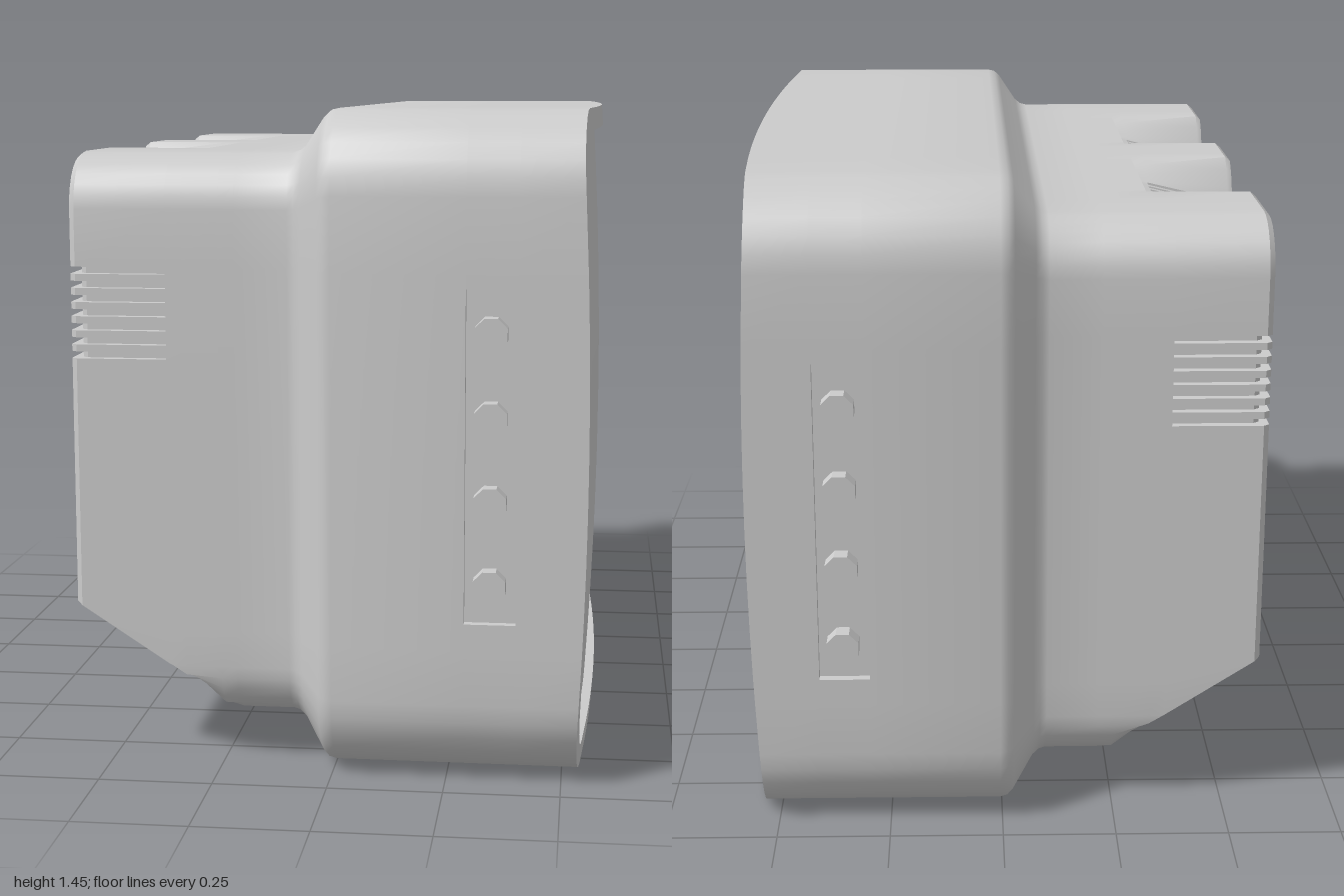
import * as THREE from 'three';
import { toCreasedNormals } from 'three/addons/utils/BufferGeometryUtils.js';

const lerp = THREE.MathUtils.lerp;
const mat = () => new THREE.MeshStandardMaterial({ color: 0xcccccc });

// Section sizes: half depth, bottom, top, corner radius
const OUTER = { hz: 0.96, y0: 0, y1: 1.445, r: 0.18 };
const REAR = { hz: 0.865, y0: 0.1, y1: 1.35, r: 0.12 };
const mix = (a, b, t) => Object.fromEntries(Object.keys(a).map(k => [k, lerp(a[k], b[k], t)]));
const inset = (s, d, r) => ({ hz: s.hz - d, y0: s.y0 + d, y1: s.y1 - d, r });

// Seven vent slots with equal gaps between a and b
const slotEdges = (a, b) => Array.from({ length: 14 }, (_, i) => lerp(a, b, i / 13));
const inSlots = (v, a, b) => v > a && v < b && Math.floor((v - a) / (b - a) * 13) % 2 === 0;
const TOP_VENT = [0.18, 0.43], SIDE_VENT = [0.905, 1.105], PANEL = [0.36, 1.075];

const halfZ = [0.05, 0.1, 0.13, 0.155, ...slotEdges(...TOP_VENT), 0.45, 0.475, 0.5, 0.53, 0.62];
const Z_BREAKS = [...halfZ.map(z => -z), 0, ...halfZ].sort((a, b) => a - b);
const Y_BREAKS = [0.3, 0.48, 0.6, 0.72, 0.82, ...PANEL, ...slotEdges(...SIDE_VENT)].sort((a, b) => a - b);

// Splits a straight edge into intervals; both ends of each are kept so steps stay sharp
function edge(start, end, breaks, flags) {
  const all = [start, ...breaks, end], out = [];
  for (let i = 0; i < all.length - 1; i++) {
    const f = flags((all[i] + all[i + 1]) / 2);
    out.push({ v: all[i], ...f }, { v: all[i + 1], ...f });
  }
  return out;
}

// Sloped underside at the back
const SLOPE = [[-0.575, 0.36], [-0.33, 0.2], [-0.25, 0.122], [-0.215, 0.1]];
function floorY(x) {
  for (let i = 0; i < 3; i++) {
    const [xa, ya] = SLOPE[i], [xb, yb] = SLOPE[i + 1];
    if (x <= xb) return lerp(ya, yb, (x - xa) / (xb - xa));
  }
  return 0;
}

// Two scoops in the rear top, deeper toward the back
function scoop(x, z) {
  const off = Math.abs(Math.abs(z) - 0.315);
  return lerp(0.1, 0.04, (x + 0.575) / 0.245) * (1 - THREE.MathUtils.smoothstep(off, 0.125, 0.215));
}

// Bulged front of the bezel
const frontX = (z, y) => 0.525 + 0.042 * (1 - (z / 0.96) ** 2) + 0.025 * (1 - ((y - 0.7225) / 0.7225) ** 2);

// One rounded rectangular cross-section, with optional vent slots, scoops and side panel
function ring(x, s, { slotIn = 0, slotX = 0, scooped = false, panelIn = 0 } = {}) {
  const { hz, y0, y1, r } = s, pts = [];
  const add = (z, y, dx = 0) => {
    const px = typeof x === 'function' ? x(z, y) : x;
    pts.push(new THREE.Vector3(px + dx, Math.max(y, floorY(px)), z));
  };
  const corner = (cz, cy, a0) => {
    for (let i = 1; i < 7; i++) {
      const a = a0 - (i / 7) * Math.PI / 2;
      add(cz + r * Math.cos(a), cy + r * Math.sin(a));
    }
  };
  const cz = hz - r, top = y1 - r, bot = y0 + r, H = Math.PI / 2;
  const across = edge(-cz, cz, Z_BREAKS, m => ({ slot: inSlots(Math.abs(m), ...TOP_VENT) }));
  const up = edge(bot, top, Y_BREAKS, m => ({
    slot: inSlots(m, ...SIDE_VENT), panel: m > PANEL[0] && m < PANEL[1] }));
  const side = sign => p =>
    add(sign * (hz - (p.slot ? slotIn : 0) - (p.panel ? panelIn : 0)), p.v, p.slot ? slotX : 0);
  across.forEach(p => add(p.v, y1 - (scooped ? scoop(x, p.v) : 0) - (p.slot ? slotIn : 0), p.slot ? slotX : 0));
  corner(cz, top, H);
  [...up].reverse().forEach(side(1));
  corner(cz, bot, 0);
  [...across].reverse().forEach(p => add(p.v, y0));
  corner(-cz, bot, -H);
  up.forEach(side(-1));
  corner(-cz, top, -2 * H);
  return pts;
}

// Skins a list of matching rings, leaving out empty triangles
function loft(rings, crease) {
  const pos = [], e1 = new THREE.Vector3(), e2 = new THREE.Vector3();
  const tri = (a, b, c) => {
    e1.subVectors(b, a).cross(e2.subVectors(c, a));
    if (e1.length() > 1e-8) pos.push(...a, ...b, ...c);
  };
  for (let k = 0; k < rings.length - 1; k++) {
    const A = rings[k], B = rings[k + 1], n = A.length;
    for (let i = 0; i < n; i++) {
      const j = (i + 1) % n;
      tri(A[i], A[j], B[i]);
      tri(A[j], B[j], B[i]);
    }
  }
  const g = new THREE.BufferGeometry();
  g.setAttribute('position', new THREE.Float32BufferAttribute(pos, 3));
  return toCreasedNormals(g, crease);
}

export function createModel() {
  const model = new THREE.Group();
  const add = (name, geo, x = 0, y = 0, z = 0, parent = model) => {
    const m = new THREE.Mesh(geo, mat());
    m.name = name;
    m.position.set(x, y, z);
    parent.add(m);
    return m;
  };

  // Housing: from the middle of the back face, around the body, to the inner bezel
  const D = 0.02, back = -0.575;
  const backInner = { hz: 0.715, y0: 0.1, y1: 1.15, r: 0.02 };
  const inner = inset(OUTER, 0.048, 0.14);
  const recessed = ring((z, y) => frontX(z, y) - 0.022, inner);
  const backRing = ring(back, backInner, { scooped: true });
  const housing = [
    backRing.map(() => new THREE.Vector3(back, 0.75, 0)),
    backRing,
    ring(back, backInner, { scooped: true, slotX: D }),
    ring(back, inset(REAR, 0.01, 0.11), { scooped: true, slotX: D, slotIn: D }),
    ring(back + 0.012, REAR, { scooped: true, slotX: D, slotIn: D }),
    ring(-0.365, REAR, { scooped: true, slotIn: D }),
    ring(-0.365, REAR, { scooped: true }),
    ring(-0.33, REAR, { scooped: true }),
    ring(-0.33, REAR),
    ring(-0.25, REAR),
    ring(-0.215, REAR),
    // flare between rear and front
    ...[[-0.1, 0], [-0.085, 0.04], [-0.07, 0.16], [-0.025, 0.84], [-0.012, 0.96], [0.005, 1]]
      .map(([x, t]) => ring(x, mix(REAR, OUTER, t))),
    // sunken control panels
    ring(0.29, OUTER),
    ring(0.29, OUTER, { panelIn: D }),
    ring(0.4, OUTER, { panelIn: D }),
    ring(0.4, OUTER),
    // bezel
    ring(frontX, OUTER),
    ring(frontX, inner),
    recessed,
  ];
  add('housing', loft(housing, 0.6));

  // Bulged screen
  const screen = [1, 0.85, 0.7, 0.55, 0.4, 0.2, 0].map(k => recessed.map(p => {
    const y = lerp(0.7225, p.y, k), z = p.z * k;
    return new THREE.Vector3(frontX(z, y) - 0.022, y, z);
  }));
  add('screen', loft(screen, 0.6));

  // Control knobs on both sides
  const shaft = new THREE.CylinderGeometry(0.028, 0.028, 0.05, 8).rotateY(Math.PI / 8).rotateX(Math.PI / 2);
  const cap = new THREE.CylinderGeometry(0.037, 0.037, 0.038, 8).rotateY(Math.PI / 8).rotateX(Math.PI / 2);
  for (const s of [1, -1]) {
    for (const y of [0.45, 0.628, 0.807, 0.985]) {
      const knob = new THREE.Group();
      knob.name = 'knob';
      knob.position.set(0.345, y, 0);
      model.add(knob);
      for (const [name, g, z] of [['knobShaft', shaft, 0.945], ['knobCap', cap, 0.981]]) {
        add(name, toCreasedNormals(g, 0.3), 0, 0, s * z, knob);
      }
    }
    // Long cover plates across the back
    add('backPlate', new THREE.BoxGeometry(0.012, 0.09, 0.8), back + 0.003, 0.605, s * 0.437);
  }
  return model;
}
